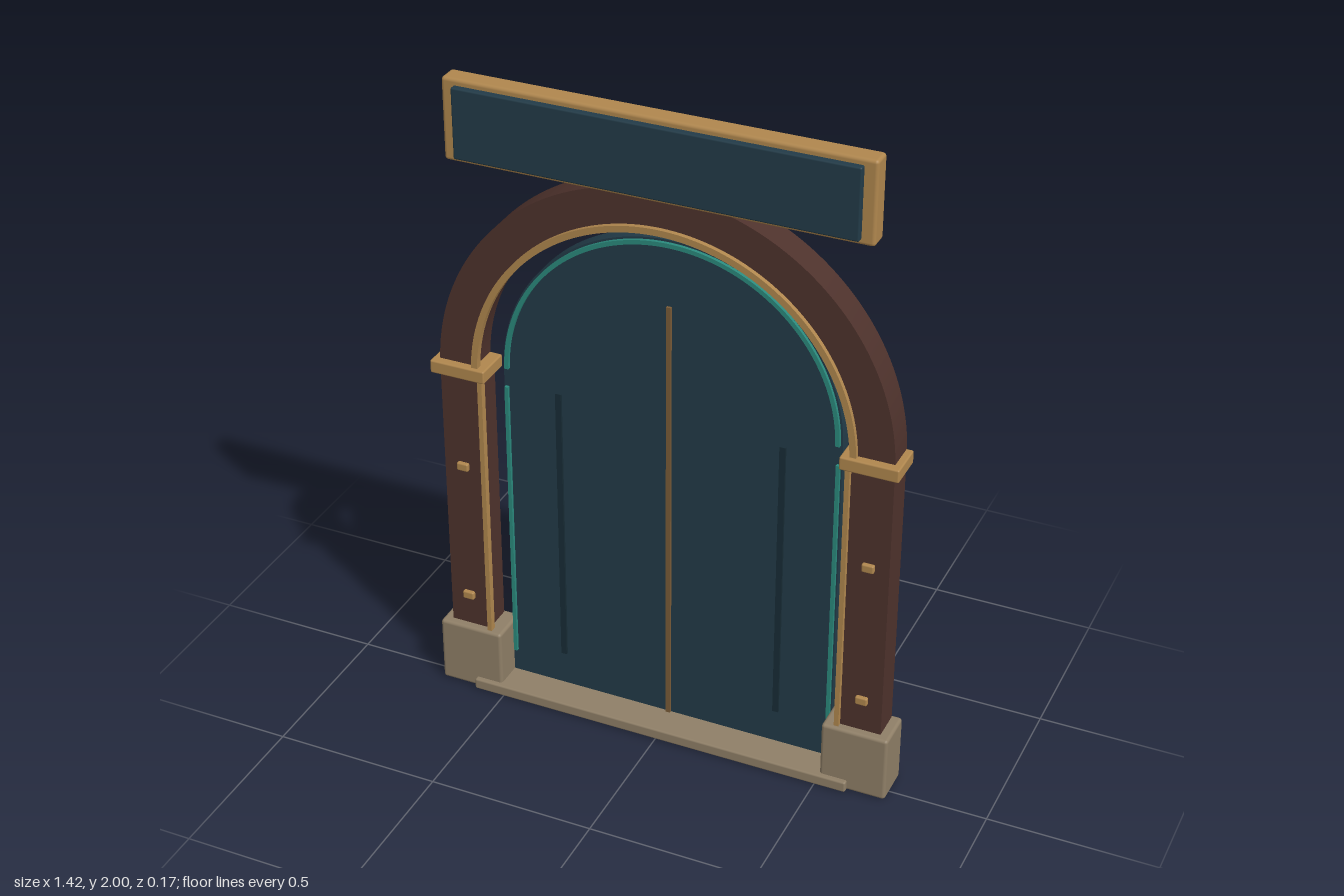
import * as THREE from 'three';
import { toCreasedNormals } from 'three/addons/utils/BufferGeometryUtils.js';
import { RoundedBoxGeometry } from 'three/addons/geometries/RoundedBoxGeometry.js';

const mat = (name, color) => Object.assign(new THREE.MeshStandardMaterial({ color }), { name });

export function createModel() {
  const wood = mat('dark wood', 0x4e322c);
  const gold = mat('gold trim', 0xb0874e);
  const bronze = mat('bronze seam', 0x7a5c38);
  const stone = mat('stone', 0x8f7f67);
  const panel = mat('blue door', 0x223b48);
  const groove = mat('door groove', 0x182c36);
  const teal = mat('teal inlay', 0x2b8a7d);

  const model = new THREE.Group();
  model.name = 'archedDoorway';
  const springY = 1.09;

  const add = (name, geometry, material) => {
    const mesh = new THREE.Mesh(geometry, material);
    mesh.name = name;
    model.add(mesh);
    return mesh;
  };
  // Box from its limits on each axis, with optional rounded edges
  const box = (name, material, [x0, x1], [y0, y1], [z0, z1], round = 0) => {
    const size = [x1 - x0, y1 - y0, z1 - z0];
    const geometry = round ? new RoundedBoxGeometry(...size, 2, round) : new THREE.BoxGeometry(...size);
    add(name, geometry, material).position.set((x0 + x1) / 2, (y0 + y1) / 2, (z0 + z1) / 2);
  };
  // The same box on both sides
  const pair = (name, material, [x0, x1], y, z, round) => {
    box(name + 'Left', material, [x0, x1], y, z, round);
    box(name + 'Right', material, [-x1, -x0], y, z, round);
  };
  const extrude = (name, shape, material, z0, z1) => {
    const geometry = new THREE.ExtrudeGeometry(shape, { depth: z1 - z0, bevelEnabled: false, curveSegments: 48 });
    add(name, toCreasedNormals(geometry, 0.5), material).position.z = z0;
  };
  // Half ring standing on the spring line
  const halfRing = (name, material, inner, outer, z0, z1) => {
    const shape = new THREE.Shape();
    shape.absarc(0, springY, outer, 0, Math.PI, false);
    shape.absarc(0, springY, inner, Math.PI, 0, true);
    shape.closePath();
    extrude(name, shape, material, z0, z1);
  };

  // Frame: arch, posts, capitals and plinths
  halfRing('arch', wood, 0.568, 0.68, -0.07, 0.02);
  pair('post', wood, [0.556, 0.68], [0.2, springY], [-0.07, 0.02]);
  pair('capital', gold, [0.53, 0.7], [1.07, 1.11], [-0.0705, 0.045], 0.005);
  pair('plinth', stone, [0.51, 0.71], [0, 0.21], [-0.081, 0.045], 0.01);
  box('threshold', stone, [-0.595, 0.595], [0, 0.035], [-0.075, 0.06], 0.006);

  // Gold edging and studs on the frame
  halfRing('archTrim', gold, 0.556, 0.575, 0.014, 0.034);
  pair('postTrim', gold, [0.544, 0.558], [0.2, 1.08], [0.014, 0.034]);
  for (const y of [0.315, 0.765]) {
    pair('stud', gold, [0.602, 0.638], [y - 0.013, y + 0.013], [0.01, 0.032], 0.005);
  }

  // Arched door slab
  const doorShape = new THREE.Shape();
  doorShape.moveTo(-0.51, 0.03);
  doorShape.lineTo(0.51, 0.03);
  doorShape.lineTo(0.51, springY);
  doorShape.absarc(0, springY, 0.51, 0, Math.PI, false);
  doorShape.closePath();
  extrude('door', doorShape, panel, -0.083, -0.04);

  // Inlay, grooves and centre seam on the door
  halfRing('doorArchInlay', teal, 0.491, 0.504, -0.045, -0.03);
  pair('doorSideInlay', teal, [0.495, 0.506], [0.11, 1.03], [-0.045, -0.03]);
  pair('doorGroove', groove, [0.33, 0.348], [0.145, 1.045], [-0.042, -0.033]);
  box('doorSeam', bronze, [-0.007, 0.007], [0.035, 1.4], [-0.042, -0.032]);

  // Sign board above the arch
  box('signFrame', gold, [-0.61, 0.61], [1.76, 2], [0.004, 0.065], 0.01);
  box('signPanel', panel, [-0.573, 0.573], [1.776, 1.982], [0.05, 0.083], 0.005);

  return model;
}
